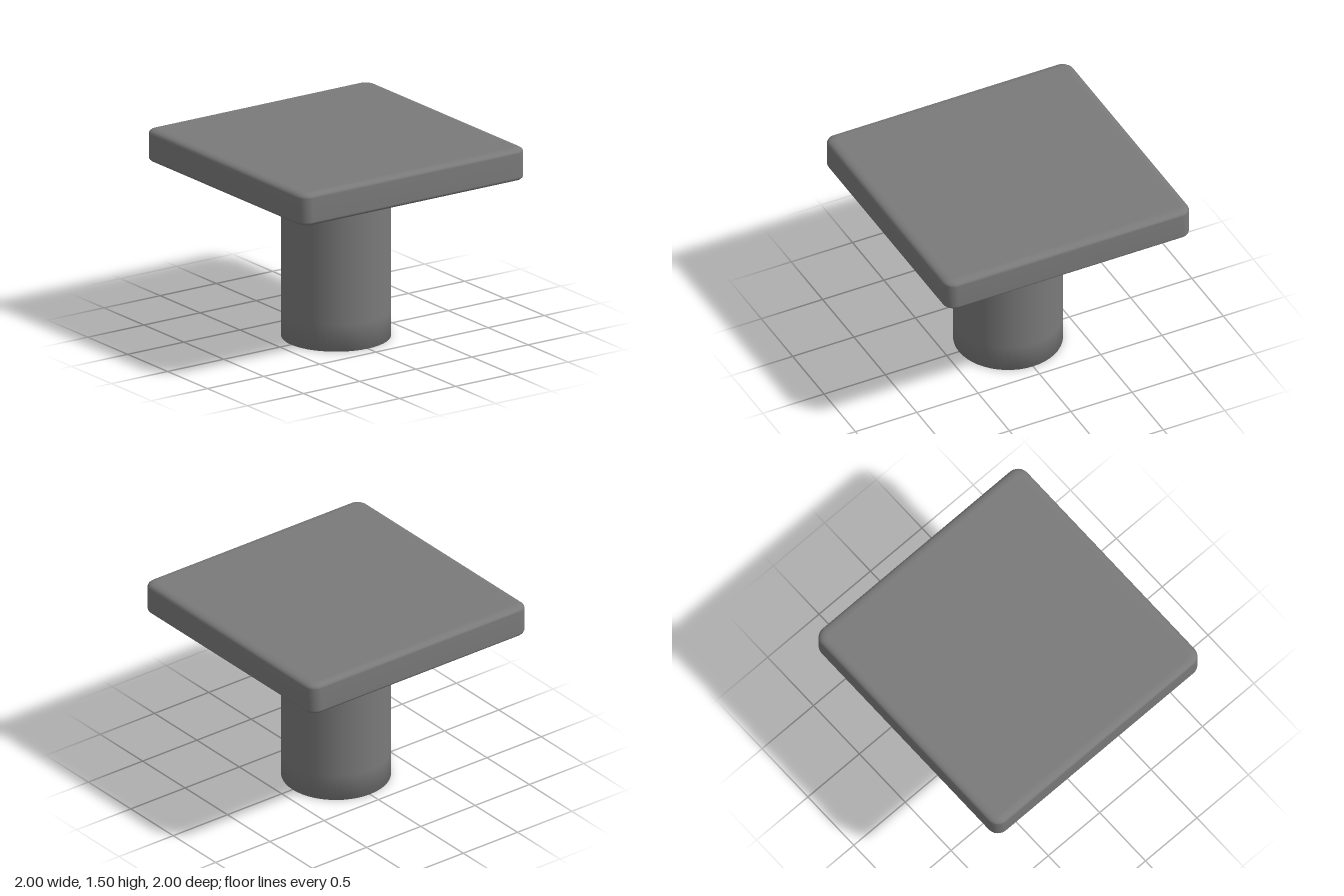
import * as THREE from 'three';
import { mergeVertices } from 'three/addons/utils/BufferGeometryUtils.js';

// Square outline with rounded corners
function roundedSquare(half, r) {
  const shape = new THREE.Shape();
  const c = half - r;
  [[c, c], [-c, c], [-c, -c], [c, -c]].forEach(([x, y], i) =>
    shape.absarc(x, y, r, i * Math.PI / 2, (i + 1) * Math.PI / 2, false));
  shape.closePath();
  return shape;
}

export function createModel() {
  const model = new THREE.Group();
  const grey = new THREE.MeshStandardMaterial({ color: 0x7a7a7a });
  grey.name = 'grey';

  // Square slab with softly bevelled edges, smooth shaded
  let slab = new THREE.ExtrudeGeometry(roundedSquare(0.94, 0.03), {
    depth: 0.18, curveSegments: 3,
    bevelEnabled: true, bevelSize: 0.06, bevelThickness: 0.035, bevelSegments: 4,
  });
  slab.rotateX(-Math.PI / 2);
  slab.translate(0, 1.29, 0);
  slab.deleteAttribute('uv');
  slab.deleteAttribute('normal');
  slab = mergeVertices(slab, 1e-4);
  slab.computeVertexNormals();
  const top = new THREE.Mesh(slab, grey);
  top.name = 'topSlab';
  model.add(top);

  // Round column, shading blended around the bottom rim
  const profile = [[0, 0], [0.3, 0], [0.4, 0], [0.4, 0.2], [0.4, 1.1], [0.4, 1.27]]
    .map(([x, y]) => new THREE.Vector2(x, y));
  const column = new THREE.Mesh(new THREE.LatheGeometry(profile, 48), grey);
  column.name = 'column';
  model.add(column);

  return model;
}
